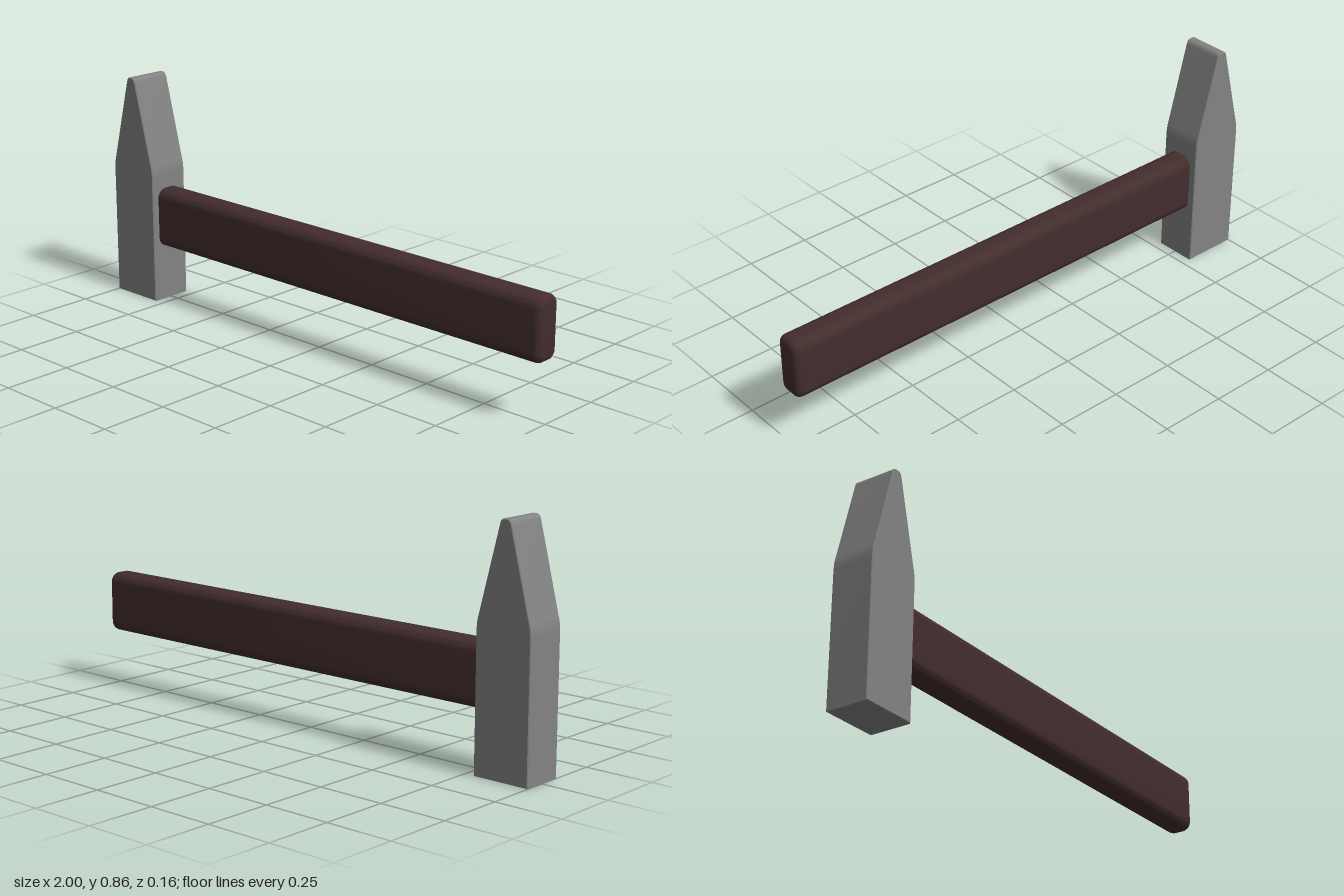
import * as THREE from 'three';
import { toCreasedNormals } from 'three/addons/utils/BufferGeometryUtils.js';

const steel = new THREE.MeshStandardMaterial({ name: 'steel grey', color: 0x838383 });
const wood = new THREE.MeshStandardMaterial({ name: 'dark wood', color: 0x432d2d });

function roundedRect(w, h, r) {
  const x = w / 2, y = h / 2, s = new THREE.Shape();
  s.moveTo(-x + r, -y);
  s.lineTo(x - r, -y);
  s.absarc(x - r, -y + r, r, -Math.PI / 2, 0);
  s.lineTo(x, y - r);
  s.absarc(x - r, y - r, r, 0, Math.PI / 2);
  s.lineTo(-x + r, y);
  s.absarc(-x + r, y - r, r, Math.PI / 2, Math.PI);
  s.lineTo(-x, -y + r);
  s.absarc(-x + r, -y + r, r, Math.PI, Math.PI * 1.5);
  return s;
}

// Extrusion centred on its depth, with the bevel kept inside the outline
function solid(shape, depth, bevel, segments, crease) {
  const geo = new THREE.ExtrudeGeometry(shape, {
    depth: depth - 2 * bevel, curveSegments: 6,
    bevelThickness: bevel, bevelSize: bevel, bevelOffset: -bevel, bevelSegments: segments,
  });
  geo.translate(0, 0, bevel - depth / 2);
  return toCreasedNormals(geo, crease);
}

export function createModel() {
  const hammer = new THREE.Group();
  hammer.name = 'hammer';

  // Head: square poll below, soft shoulder, wedge with a rounded tip above
  const half = 0.107;
  const profile = new THREE.Shape();
  profile.moveTo(-half, 0);
  profile.lineTo(half, 0);
  profile.lineTo(half, 0.485);
  profile.quadraticCurveTo(half, 0.515, half - 0.008, 0.54);
  profile.lineTo(0.023, 0.837);
  profile.quadraticCurveTo(0.018, 0.855, 0.006, 0.855);
  profile.lineTo(-0.006, 0.855);
  profile.quadraticCurveTo(-0.018, 0.855, -0.023, 0.837);
  profile.lineTo(-half + 0.008, 0.54);
  profile.quadraticCurveTo(-half, 0.515, -half, 0.485);
  profile.closePath();
  const head = new THREE.Mesh(solid(profile, 0.16, 0.003, 1, 0.6), steel);
  head.name = 'head';
  head.position.x = -0.893;
  hammer.add(head);

  // Handle: rounded bar from inside the head to its rounded butt
  const length = 1.86;
  const handle = new THREE.Mesh(solid(roundedRect(0.104, 0.226, 0.036), length, 0.024, 4, 0.8), wood);
  handle.name = 'handle';
  handle.rotation.y = Math.PI / 2;
  handle.position.set(1 - length / 2, 0.325, 0);
  hammer.add(handle);

  return hammer;
}
